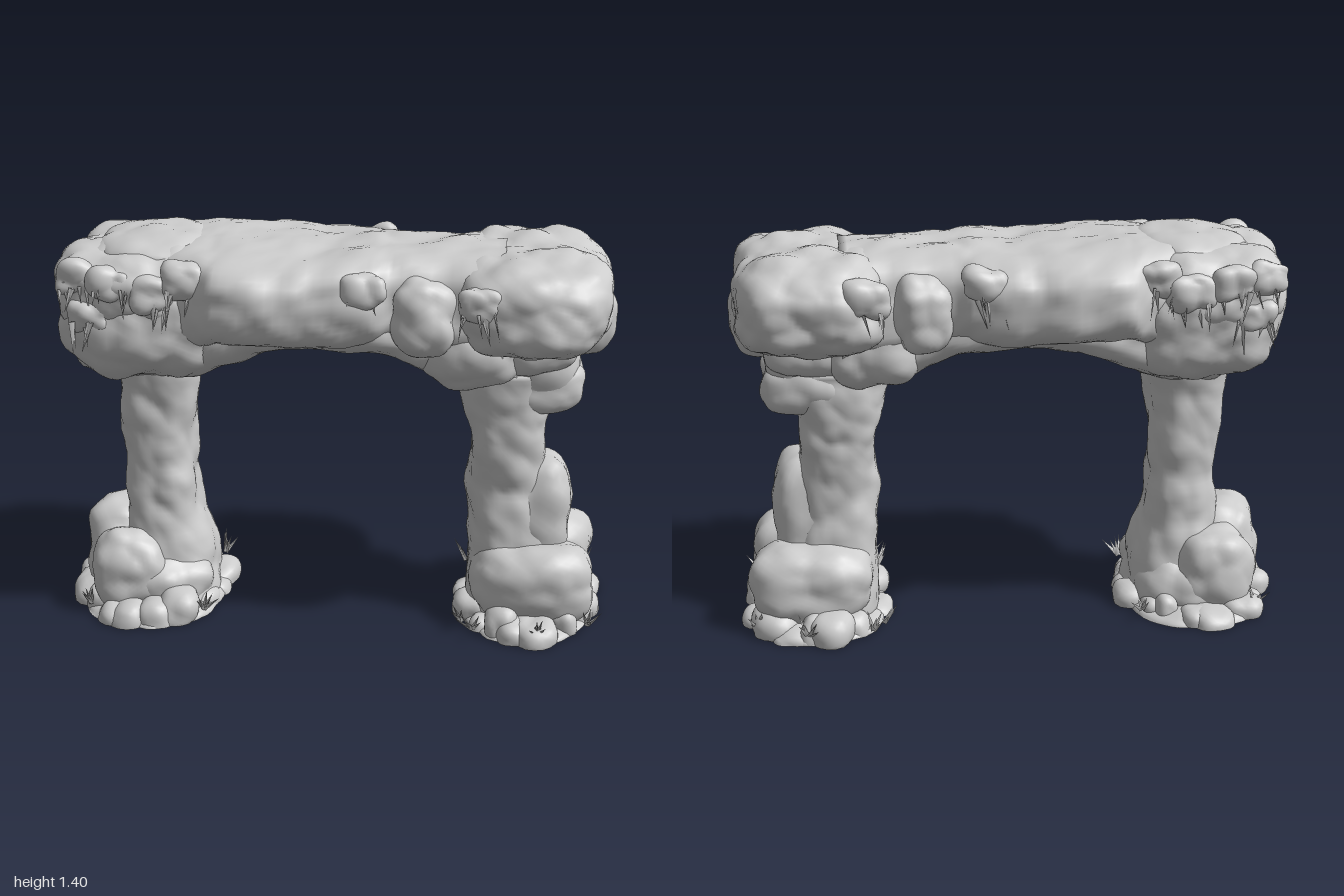
import * as THREE from 'three';
import { mergeVertices, mergeGeometries } from 'three/addons/utils/BufferGeometryUtils.js';

// seeded random
function makeRandom(seed) {
  let s = seed;
  return () => ((s = (s * 16807) % 2147483647) / 2147483647);
}

// distance to the nearest of one scattered point per grid cell
function cellDistance(x, y, z, seed) {
  const hash = (i, j, k, n) => {
    const v = Math.sin(i * 127.1 + j * 311.7 + k * 74.7 + n * 53.3 + seed * 9.1) * 43758.5453;
    return v - Math.floor(v);
  };
  let best = 9;
  const cx = Math.floor(x), cy = Math.floor(y), cz = Math.floor(z);
  for (let i = cx - 1; i <= cx + 1; i++) for (let j = cy - 1; j <= cy + 1; j++) for (let k = cz - 1; k <= cz + 1; k++) {
    best = Math.min(best, Math.hypot(i + hash(i, j, k, 1) - x, j + hash(i, j, k, 2) - y, k + hash(i, j, k, 3) - z));
  }
  return best;
}

// cobbled offset for a point: bulging cells with creases between, plus fine ripples
function lump(p, amount, seed) {
  const { x, y, z } = p;
  const ripple = Math.sin(23 * x + seed + 2 * Math.sin(17 * y)) * Math.cos(21 * z + seed + 2 * Math.sin(15 * y + 9 * x));
  return amount * (1.5 - 3 * cellDistance(x * 5.5, y * 5.5, z * 5.5, seed)
    + 0.6 - 1.2 * cellDistance(x * 12, y * 12, z * 12, seed + 3) + 0.35 * ripple);
}

export function createModel() {
  const model = new THREE.Group();
  model.name = 'rockArch';
  const stone = new THREE.MeshStandardMaterial({ color: 0xcccccc });
  stone.name = 'grey stone';
  const leaf = new THREE.MeshStandardMaterial({ color: 0xcccccc, side: THREE.DoubleSide });
  leaf.name = 'grey leaf';

  function add(name, geometry, material = stone) {
    const mesh = new THREE.Mesh(geometry, material);
    mesh.name = name;
    model.add(mesh);
  }

  // boulder filling a box; power 2 is round, higher is blockier
  function rock(name, x0, x1, y0, y1, z0, z1, power = 2.6, bump = 0.012, detail = 10) {
    const source = new THREE.IcosahedronGeometry(1, detail);
    source.deleteAttribute('normal');
    source.deleteAttribute('uv');
    const g = mergeVertices(source, 1e-4);
    const pos = g.attributes.position, p = new THREE.Vector3(), n = new THREE.Vector3();
    const seed = x0 * 7 + y1 * 5 + Math.abs(z0 + z1) * 3;
    for (let i = 0; i < pos.count; i++) {
      n.fromBufferAttribute(pos, i);
      const r = (Math.abs(n.x) ** power + Math.abs(n.y) ** power + Math.abs(n.z) ** power) ** (-1 / power);
      p.copy(n).multiplyScalar(r);
      p.set((x0 + x1) / 2 + p.x * (x1 - x0) / 2, (y0 + y1) / 2 + p.y * (y1 - y0) / 2, (z0 + z1) / 2 + p.z * (z1 - z0) / 2);
      p.addScaledVector(n, lump(p, bump, seed));
      p.y = Math.max(p.y, 0.01);
      pos.setXYZ(i, p.x, p.y, p.z);
    }
    g.computeVertexNormals();
    add(name, g);
  }
  // the same boulder at the front and at the back
  function rockPair(name, x0, x1, y0, y1, z0, z1, power, bump, detail) {
    rock(name + 'Front', x0, x1, y0, y1, z0, z1, power, bump, detail);
    rock(name + 'Back', x0, x1, y0, y1, -z1, -z0, power, bump, detail);
  }

  // rounded-square sections [t, a0, a1, halfZ] joined along x or y
  function loft(name, axis, stations, power, bump, seed) {
    const rows = 48, sides = 64, verts = [], index = [], p = new THREE.Vector3();
    const curve = [1, 2, 3].map((k) => new THREE.CatmullRomCurve3(
      stations.map((s) => new THREE.Vector3(s[0], s[k], 0))));
    const last = rows + 2;
    for (let i = 0; i <= last; i++) {
      const u = THREE.MathUtils.clamp((i - 1) / rows, 0, 1);
      const [a0, a1, h] = curve.map((c) => c.getPoint(u));
      const cap = i === 0 || i === last ? 0.001 : 1;
      for (let j = 0; j < sides; j++) {
        const t = (j / sides) * Math.PI * 2, c = Math.cos(t), s = Math.sin(t);
        const r = cap * (Math.abs(c) ** power + Math.abs(s) ** power) ** (-1 / power);
        const a = (a0.y + a1.y) / 2 + r * c * (a1.y - a0.y) / 2;
        if (axis === 'x') p.set(a0.x, a, r * s * h.y); else p.set(a, a0.x, -r * s * h.y);
        const d = lump(p, bump, seed);
        if (axis === 'x') p.y += c * d * 0.8; else p.x += c * d;
        p.z += (axis === 'x' ? s : -s) * d * 1.2;
        verts.push(p.x, p.y, p.z);
        if (i < last) {
          const k = i * sides + j, m = i * sides + (j + 1) % sides;
          // both axes wind outward because z is flipped for y
          index.push(k, m, k + sides, m, m + sides, k + sides);
        }
      }
    }
    const g = new THREE.BufferGeometry();
    g.setAttribute('position', new THREE.Float32BufferAttribute(verts, 3));
    if (axis === 'x') index.reverse();
    // flip everything if the first side face looks inward
    const a = new THREE.Vector3(), b = new THREE.Vector3(), c = new THREE.Vector3();
    let volume = 0;
    for (let i = 0; i < index.length; i += 3) {
      a.fromArray(verts, index[i] * 3); b.fromArray(verts, index[i + 1] * 3); c.fromArray(verts, index[i + 2] * 3);
      volume += a.dot(b.cross(c));
    }
    if (volume < 0) index.reverse();
    g.setIndex(index);
    g.computeVertexNormals();
    add(name, g);
  }

  // spanning beam, arched underneath
  loft('beam', 'x', [[-0.62, 1.0, 1.38, 0.26], [-0.46, 1.02, 1.39, 0.34], [-0.38, 1.05, 1.39, 0.42],
    [-0.2, 1.05, 1.38, 0.42], [-0.04, 1.04, 1.37, 0.39], [0.14, 1.05, 1.38, 0.35],
    [0.22, 1.03, 1.38, 0.29], [0.42, 1.0, 1.38, 0.28], [0.6, 0.97, 1.37, 0.3]], 3.5, 0.011, 1);
  loft('archUnderside', 'x', [[-0.7, 0.88, 1.2, 0.24], [-0.5, 0.89, 1.2, 0.27], [-0.36, 0.95, 1.2, 0.29],
    [-0.2, 1.01, 1.2, 0.3], [0, 1.02, 1.2, 0.3], [0.2, 1.0, 1.2, 0.28], [0.35, 0.93, 1.2, 0.25],
    [0.48, 0.88, 1.2, 0.22], [0.65, 0.86, 1.2, 0.2]], 3, 0.009, 3);
  rockPair('beamShoulder', 0.21, 0.43, 1.04, 1.32, 0.12, 0.36, 2.8, 0.014);

  // left head: one heavy bowl-bottomed boulder with a ragged cap
  rock('leftHeadBelly', -0.97, -0.35, 0.88, 1.37, -0.34, 0.34, 2.9, 0.014, 17);
  rock('leftHeadCap', -0.97, -0.42, 1.08, 1.38, -0.34, 0.34, 3.5, 0.015, 17);
  rock('leftHeadCrown', -0.84, -0.44, 1.25, 1.41, -0.25, 0.25, 2.6, 0.008, 12);

  // right head: overhanging block on two knuckles
  rock('rightHeadCap', 0.43, 0.97, 1.03, 1.38, -0.42, 0.42, 3.4, 0.014, 17);
  rock('rightHeadNose', 0.78, 0.99, 0.98, 1.26, -0.11, 0.11, 2.5, 0.008);
  rock('rightKnuckle', 0.45, 0.88, 0.78, 1.14, -0.19, 0.19, 3, 0.012);
  rockPair('rightKnuckleSide', 0.5, 0.89, 0.78, 0.99, -0.01, 0.19, 2.7, 0.01);
  rockPair('rightKnuckleUpper', 0.5, 0.86, 0.94, 1.15, 0.02, 0.24, 2.7, 0.01);
  rockPair('rightHaunch', 0.32, 0.66, 0.9, 1.16, 0.04, 0.29, 2.6, 0.012);

  // left leg and its footing
  loft('leftColumn', 'y', [[0.02, -0.82, -0.43, 0.24], [0.2, -0.79, -0.46, 0.2], [0.4, -0.77, -0.51, 0.17],
    [0.6, -0.77, -0.52, 0.16], [0.8, -0.78, -0.5, 0.17], [1.0, -0.8, -0.48, 0.19]], 2.8, 0.009, 4);
  rock('leftFoot', -0.9, -0.45, -0.06, 0.24, -0.27, 0.27, 2.7, 0.014, 13);
  rock('leftFootBoulder', -0.92, -0.66, -0.02, 0.38, -0.17, 0.17, 3, 0.012);
  rockPair('leftFootSide', -0.88, -0.6, -0.02, 0.31, 0.05, 0.29, 2.7, 0.012);

  // right leg and its stacked boulders
  loft('rightColumn', 'y', [[0.02, 0.48, 0.86, 0.24], [0.3, 0.49, 0.82, 0.2], [0.5, 0.48, 0.78, 0.18],
    [0.68, 0.49, 0.76, 0.19], [0.8, 0.45, 0.77, 0.2], [0.95, 0.43, 0.82, 0.2]], 2.8, 0.009, 6);
  rock('rightLegBoulder', 0.53, 0.86, 0.15, 0.61, -0.17, 0.17, 3.5, 0.01);
  rockPair('rightFootBoulder', 0.51, 0.95, 0.02, 0.32, 0.01, 0.31, 2.8, 0.011);

  // uneven rubble ringed round each foot
  const random = makeRandom(421);
  for (const [side, cx, rx, rz] of [['left', -0.68, 0.22, 0.31], ['right', 0.71, 0.2, 0.32]]) {
    for (let i = 0; i < 16; i++) {
      const t = (i / 16) * Math.PI * 2 + random() * 0.25, w = 0.045 + random() * 0.045, h = 0.05 + random() * 0.07;
      const x = cx + Math.cos(t) * rx, z = Math.sin(t) * rz;
      rock(side + 'Rubble', x - w, x + w, -0.04, h, z - w * 1.2, z + w * 1.2, 2.6, 0.011, 5);
    }
    rock(side + 'Apron', cx - rx - 0.04, cx + rx + 0.04, -0.05, 0.06, -0.38, 0.38, 2.5, 0.014, 9);
  }

  // pointed leaf blade from a root along a direction
  const up = new THREE.Vector3(0, 1, 0);
  function blade(root, direction, length, width) {
    const g = new THREE.ConeGeometry(width, length, 3, 1, true);
    g.scale(1, 1, 0.35).translate(0, length / 2, 0);
    g.applyQuaternion(new THREE.Quaternion().setFromUnitVectors(up, direction.normalize()));
    return g.translate(root.x, root.y, root.z);
  }

  // grass tufts at the feet
  const tufts = [];
  for (const [x, z] of [[0.48, 0.27], [0.52, 0.33], [0.93, 0.26], [0.75, 0.36], [-0.46, 0.26], [-0.88, 0.25]]) {
    for (const sign of [1, -1]) for (let i = 0; i < 6; i++) {
      const out = new THREE.Vector3(random() - 0.5 + Math.sign(x) * (Math.abs(x) - 0.7), 0.5 + random() * 0.5, sign * (random() * 0.8));
      tufts.push(blade(new THREE.Vector3(x, 0.04, z * sign), out, 0.05 + random() * 0.05, 0.011));
    }
  }
  add('grassTufts', mergeGeometries(tufts), leaf);

  // low ragged moss patches with hanging tips along the upper edges
  const tips = [];
  for (const [x, y, z] of [[-0.87, 1.28, 0.29], [-0.74, 1.27, 0.32], [-0.6, 1.24, 0.32], [-0.48, 1.28, 0.32],
    [0.13, 1.28, 0.33], [0.52, 1.25, 0.37], [-0.82, 1.15, 0.31]]) {
    for (const sign of [1, -1]) {
      rock('mossPatch', x - 0.08, x + 0.08, y - 0.05, y + 0.07, sign * z - 0.045, sign * z + 0.045, 3, 0.018, 6);
      for (let i = 0; i < 5; i++) {
        const root = new THREE.Vector3(x + (random() - 0.5) * 0.12, y - random() * 0.03, sign * (z + 0.02 + random() * 0.02));
        tips.push(blade(root, new THREE.Vector3((random() - 0.5) * 0.7, -1, sign * 0.2 * random()), 0.05 + random() * 0.07, 0.014));
      }
    }
  }
  add('hangingMoss', mergeGeometries(tips), leaf);
  return model;
}
